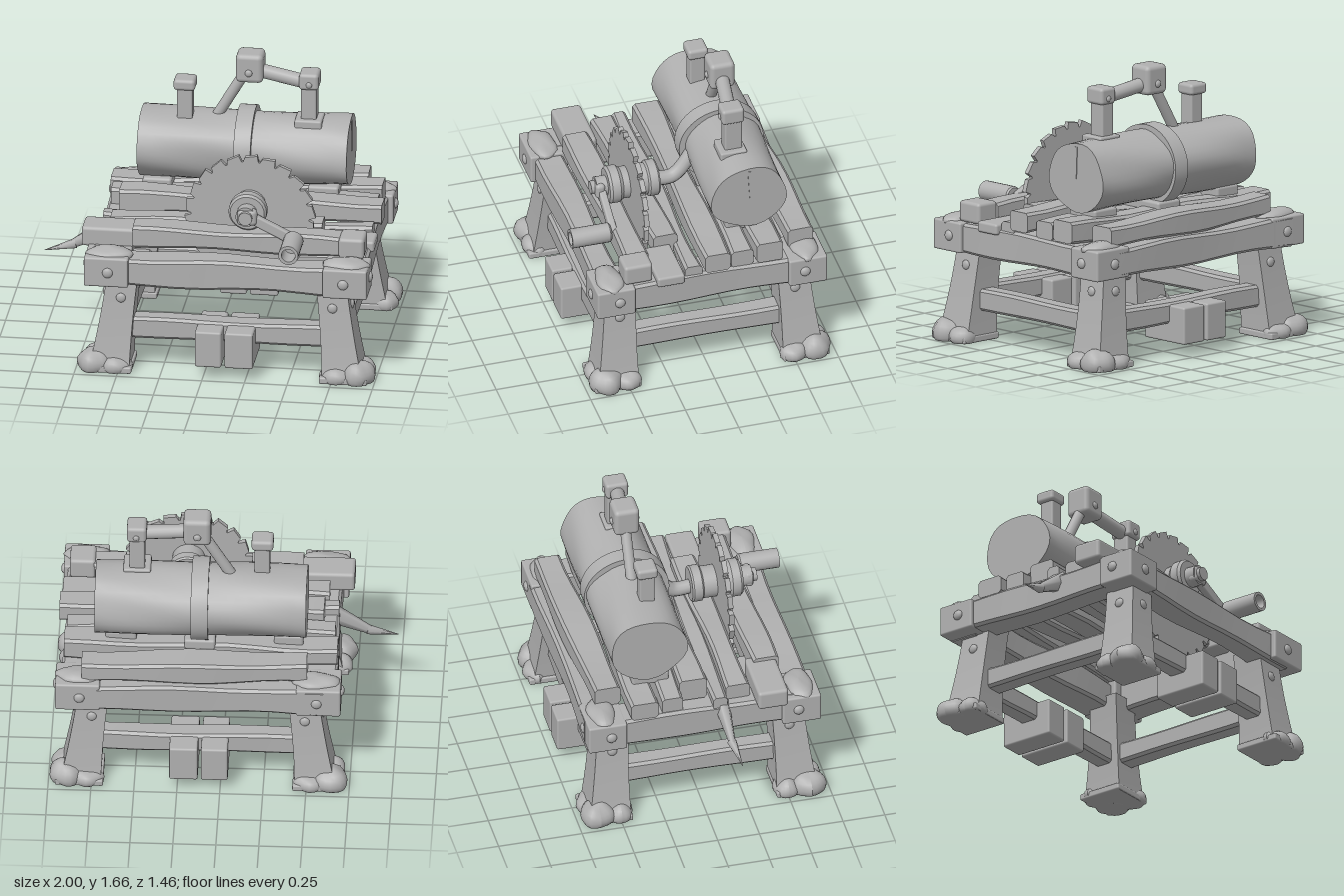
import * as THREE from 'three';
import { toCreasedNormals } from 'three/addons/utils/BufferGeometryUtils.js';
import { RoundedBoxGeometry } from 'three/addons/geometries/RoundedBoxGeometry.js';

const CX = 0.13; // frame centre along x

export function createModel() {
  const model = new THREE.Group();
  model.name = 'logSawBench';
  const grey = new THREE.MeshStandardMaterial({ color: 0xb0b0b0 });
  grey.name = 'plain grey';

  const add = (name, geo, x = 0, y = 0, z = 0) => {
    const m = new THREE.Mesh(geo, grey);
    m.name = name;
    m.position.set(x, y, z);
    model.add(m);
    return m;
  };
  const mid = ([a, b]) => (a + b) / 2;

  // Softly rounded box given by its extents
  const block = (name, x, y, z, r = 0.015) =>
    add(name, new RoundedBoxGeometry(x[1] - x[0], y[1] - y[0], z[1] - z[0], 2, r), mid(x), mid(y), mid(z));

  // Chamfered, slightly uneven timber running along x
  const timberGeo = (len, h, d, wob, seed) => {
    const c = 0.016, a = d / 2, b = h / 2;
    const s = new THREE.Shape([[-a + c, -b], [a - c, -b], [a, -b + c], [a, b - c], [a - c, b], [-a + c, b], [-a, b - c], [-a, -b + c]]
      .map(p => new THREE.Vector2(...p)));
    const g = new THREE.ExtrudeGeometry(s, { depth: len, steps: 10, bevelEnabled: false });
    g.translate(0, 0, -len / 2).rotateY(Math.PI / 2);
    const p = g.attributes.position;
    for (let i = 0; i < p.count; i++) {
      const x = p.getX(i), y = p.getY(i), z = p.getZ(i);
      p.setY(i, y + wob * Math.sin(x * 7 + seed + Math.sign(y)));
      p.setZ(i, z + wob * Math.sin(x * 5 + seed * 2 + Math.sign(z) * 2));
    }
    return toCreasedNormals(g, 0.6);
  };
  const plank = (name, x, y, z, wob = 0.008, seed = 1) =>
    add(name, timberGeo(x[1] - x[0], y[1] - y[0], z[1] - z[0], wob, seed), mid(x), mid(y), mid(z));

  // Round bar between two points
  const rod = (name, a, b, r0, r1 = r0, seg = 16) => {
    const A = new THREE.Vector3(...a), B = new THREE.Vector3(...b), d = B.clone().sub(A);
    const m = add(name, new THREE.CylinderGeometry(r1, r0, d.length(), seg));
    m.position.copy(A).add(B).multiplyScalar(0.5);
    m.quaternion.setFromUnitVectors(new THREE.Vector3(0, 1, 0), d.normalize());
    return m;
  };
  const dome = (name, x, y, z, r, squash) => {
    const m = add(name, new THREE.SphereGeometry(r, 14, 8), x, y, z);
    m.scale.set(...squash);
    return m;
  };

  // Lump of moss: a squashed sphere with a wavy surface
  const moss = (name, x, y, z, sx, sy, sz, seed) => {
    const g = new THREE.SphereGeometry(1, 20, 12), p = g.attributes.position;
    for (let i = 0; i < p.count; i++) {
      const X = p.getX(i), Y = p.getY(i), Z = p.getZ(i);
      const k = 1 + 0.1 * Math.sin(4 * X + seed) * Math.cos(4 * Z + seed * 2);
      p.setXYZ(i, X * k * sx, Math.max(Y * k * sy, -y), Z * k * sz);
    }
    g.computeVertexNormals();
    add(name, g, x, y, z);
  };

  // Splayed legs with corner brackets, bolts and mossy feet
  for (const sx of [-1, 1]) for (const sz of [-1, 1]) {
    const leg = new THREE.BoxGeometry(1, 1, 1, 1, 8, 1), p = leg.attributes.position;
    for (let i = 0; i < p.count; i++) {
      const t = 0.5 - p.getY(i), flare = t * t;
      p.setXYZ(i,
        CX + sx * (0.61 + 0.075 * t) + p.getX(i) * (0.18 + 0.06 * flare),
        0.6 * (1 - t),
        sz * (0.52 + 0.04 * t) + p.getZ(i) * (0.19 + 0.06 * flare));
    }
    leg.computeVertexNormals();
    add('leg', leg);
    const fx = CX + sx * 0.69, fz = sz * 0.57;
    block('footPlate', [fx - 0.14, fx + 0.14], [0, 0.04], [fz - 0.14, fz + 0.14], 0.01);
    moss('footMoss', fx + sx * 0.08, 0.04, fz + sz * 0.06, 0.1, 0.085, 0.1, sx + sz);
    moss('footMoss', fx - sx * 0.04, 0.03, fz + sz * 0.08, 0.1, 0.055, 0.075, 2);
    moss('footMoss', fx + sx * 0.08, 0.03, fz - sz * 0.07, 0.085, 0.065, 0.08, 3);
    const bx = CX + sx * 0.7, bz = sz * 0.58;
    block('cornerBracket', [bx - 0.13, bx + 0.13], [0.535, 0.715], [bz - 0.115, bz + 0.115], 0.012);
    moss('cornerMoss', bx - sx * 0.01, 0.71, bz + sz * 0.01, 0.14, 0.04, 0.08, sx * 2 + sz);
    dome('bracketBolt', bx - sx * 0.01, 0.625, bz + sz * 0.115, 0.031, [1, 1, 0.55]);
    dome('bracketBolt', bx + sx * 0.13, 0.63, bz - sz * 0.02, 0.031, [0.6, 1, 1]);
    dome('legBolt', CX + sx * 0.62, 0.445, sz * 0.626, 0.029, [1, 1, 0.5]);
    dome('legBolt', CX + sx * 0.722, 0.445, sz * 0.53, 0.029, [0.5, 1, 1]);
  }

  // Top rails, lower stretchers and hanging weights
  for (const s of [-1, 1]) {
    plank(s > 0 ? 'frontRail' : 'backRail', [-0.6, 0.86], [0.535, 0.705], s > 0 ? [0.5, 0.66] : [-0.69, -0.5], 0.008, s);
    plank('longStretcher', [-0.5, 0.76], [0.185, 0.31], s > 0 ? [0.48, 0.6] : [-0.6, -0.48], 0.004, 3);
    const rail = add('sideRail', timberGeo(1.2, 0.18, 0.18, 0.006, s), CX + s * 0.71, 0.625, 0);
    const bar = add('sideStretcher', timberGeo(1.04, 0.125, 0.12, 0.003, 2), CX + s * 0.64, 0.247, 0);
    rail.rotation.y = bar.rotation.y = Math.PI / 2;
    const z = s > 0 ? [0.39, 0.725] : [-0.725, -0.39];
    block('stretcherBlock', [-0.045, 0.11], [0.075, 0.295], z, 0.012);
    block('stretcherBlock', [0.13, 0.295], [0.075, 0.295], z, 0.012);
  }

  // Deck of uneven planks: x, y, z extents
  [
    [[-0.5, 0.81], [0.71, 0.835], [-0.64, -0.47]],
    [[-0.67, 0.92], [0.71, 0.83], [-0.43, -0.28]],
    [[-0.65, 0.91], [0.7, 0.82], [-0.26, -0.12]],
    [[-0.58, 0.96], [0.74, 0.865], [-0.11, 0.04]],
    [[-0.66, 0.92], [0.68, 0.765], [0.05, 0.15]],
    [[-0.6, 0.64], [0.7, 0.81], [0.14, 0.28]],
    [[-0.44, 0.78], [0.71, 0.83], [0.34, 0.49]],
  ].forEach(([x, y, z], i) => plank('deckPlank', x, y, z, 0.009, i * 1.7)
    .rotation.set(0, [0.03, 0, 0.01, -0.01, 0, 0.02, 0.015][i], [0, 0.01, 0, 0, 0, 0, -0.012][i]));
  block('deckEndBlock', [0.63, 0.955], [0.685, 0.75], [0.165, 0.33]);
  block('deckEndBlock', [0.77, 0.92], [0.715, 0.84], [0.35, 0.52], 0.02);
  block('deckEndBlock', [-0.74, -0.38], [0.7, 0.82], [0.31, 0.49], 0.02);

  // Splintered end drooping off the left of the deck
  const splinter = rod('splinter', [-0.6, 0.69, 0.12], [-0.84, 0.56, 0.13], 0.065, 0.026, 6);
  splinter.scale.z = 0.75;
  rod('splinterTip', [-0.82, 0.565, 0.13], [-1, 0.52, 0.15], 0.03, 0.002, 6);

  // Log with a bulging, uneven bark surface
  const log = new THREE.CylinderGeometry(1, 1, 1.23, 32, 14).rotateZ(-Math.PI / 2);
  const lp = log.attributes.position;
  for (let i = 0; i < lp.count; i++) {
    const x = lp.getX(i), a = Math.atan2(lp.getZ(i), lp.getY(i));
    const k = 1 + 0.025 * Math.sin(3 * a + 4 * x) + 0.02 * Math.cos(5 * a - 6 * x);
    lp.setXYZ(i, x, lp.getY(i) * 0.205 * k, lp.getZ(i) * 0.228 * k);
  }
  add('log', toCreasedNormals(log, 0.8), 0.125, 1.065, -0.285);
  const crack = new THREE.Shape([[-0.01, 0.19], [0.01, 0.19], [0.002, 0]].map(p => new THREE.Vector2(...p)));
  add('logCrack', new THREE.ExtrudeGeometry(crack, { depth: 0.004, bevelEnabled: false }).rotateY(Math.PI / 2), 0.74, 1.06, -0.285);

  // Strap round the log and its cradle
  const ring = new THREE.Shape().absellipse(0, 0, 0.255, 0.238, 0, Math.PI * 2);
  ring.holes.push(new THREE.Path().absellipse(0, 0, 0.21, 0.19, 0, Math.PI * 2));
  const strap = new THREE.ExtrudeGeometry(ring, { depth: 0.1, bevelEnabled: false, curveSegments: 32 });
  add('logStrap', toCreasedNormals(strap.rotateY(Math.PI / 2), 0.6), 0.08, 1.065, -0.278);
  block('logCradle', [0.04, 0.22], [0.8, 0.865], [-0.43, -0.12]);
  block('logWedge', [-0.47, -0.3], [0.8, 0.875], [-0.38, -0.16]);
  block('logWedge', [0.5, 0.68], [0.8, 0.875], [-0.38, -0.16]);

  // Posts, head and linkage above the log
  block('leftPost', [-0.272, -0.182], [1.2, 1.45], [-0.285, -0.195], 0.01);
  block('leftPostCap', [-0.292, -0.165], [1.425, 1.492], [-0.303, -0.18], 0.02);
  block('rightPostBase', [0.42, 0.58], [1.22, 1.285], [-0.32, -0.16], 0.012);
  block('rightPost', [0.455, 0.545], [1.25, 1.5], [-0.3, -0.195], 0.01);
  block('rightPostCap', [0.445, 0.56], [1.47, 1.57], [-0.31, -0.175], 0.02);
  block('linkHead', [0.07, 0.23], [1.485, 1.66], [-0.35, -0.2], 0.028);
  rod('linkArm', [0.2, 1.545, -0.275], [0.48, 1.5, -0.24], 0.042);
  rod('linkStrut', [0.12, 1.53, -0.28], [-0.05, 1.24, -0.28], 0.032);
  for (const z of [-0.2, -0.35]) dome('headBolt', 0.148, 1.55, z, 0.022, [1, 1, 0.6]);
  for (const z of [-0.175, -0.31]) dome('capBolt', 0.505, 1.505, z, 0.018, [1, 1, 0.6]);

  // Toothed saw blade
  const teeth = 22, blade = new THREE.Shape();
  for (let i = 0; i < teeth; i++) {
    [[0, 0.345], [0.12, 0.385], [0.8, 0.372], [0.92, 0.345]].forEach(([t, r], j) => {
      const a = (i + t) / teeth * Math.PI * 2;
      blade[i || j ? 'lineTo' : 'moveTo'](r * Math.cos(a), r * Math.sin(a));
    });
  }
  add('sawBlade', new THREE.ExtrudeGeometry(blade, { depth: 0.03, bevelEnabled: false }), 0.225, 0.863, 0.28);

  // Turned hub on the saw axle
  const hub = [[0, 0.13], [0.1, 0.13], [0.108, 0.14], [0.108, 0.19], [0.095, 0.2], [0.095, 0.35], [0.112, 0.37],
    [0.112, 0.42], [0.1, 0.435], [0.06, 0.435], [0.06, 0.5], [0.04, 0.5], [0.04, 0.53], [0, 0.53]];
  const hubGeo = new THREE.LatheGeometry(hub.map(p => new THREE.Vector2(...p)), 24).rotateX(Math.PI / 2);
  add('sawHub', toCreasedNormals(hubGeo, 0.6), 0.225, 0.938, 0);

  // Bent axle into the log
  const axle = new THREE.CatmullRomCurve3([[0.225, 0.925, 0.16], [0.22, 0.92, 0.04], [0.215, 0.95, -0.01], [0.205, 1.05, -0.09]]
    .map(p => new THREE.Vector3(...p)));
  add('axle', new THREE.TubeGeometry(axle, 20, 0.043, 12));

  // Crank arm and hollow handle
  const arm = block('crankArm', [-0.17, 0.17], [-0.032, 0.032], [-0.022, 0.022], 0.012);
  arm.position.set(0.355, 0.875, 0.47);
  arm.rotation.set(0, 0, -0.46);
  block('crankBoss', [0.17, 0.29], [0.885, 0.985], [0.45, 0.51], 0.025);
  const grip = [[0, 0.49], [0.05, 0.49], [0.058, 0.5], [0.058, 0.73], [0.04, 0.73], [0.04, 0.6], [0, 0.6]];
  const gripGeo = new THREE.LatheGeometry(grip.map(p => new THREE.Vector2(...p)), 20).rotateX(Math.PI / 2);
  add('crankHandle', toCreasedNormals(gripGeo, 0.6), 0.505, 0.808, 0);

  return model;
}
